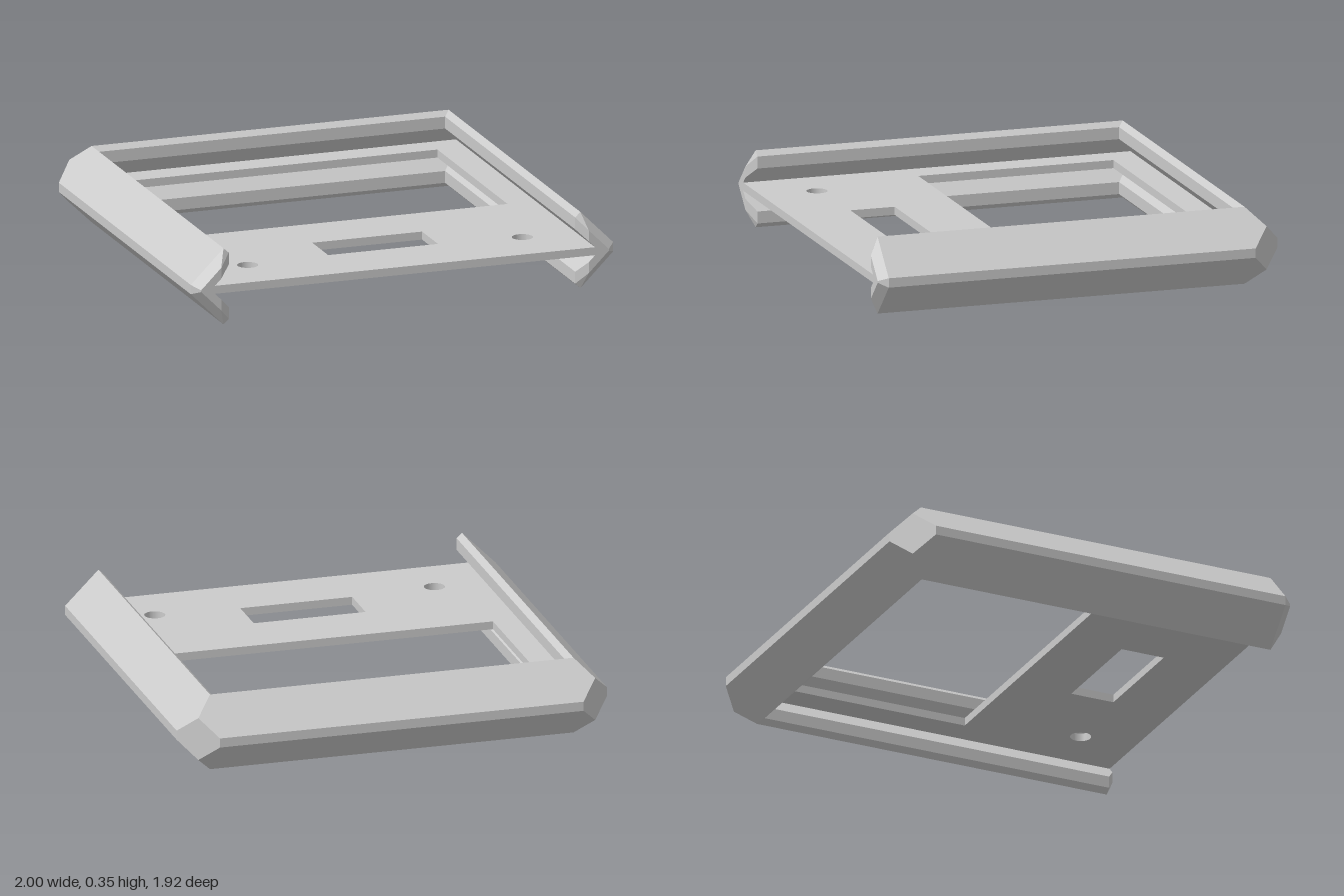
import * as THREE from 'three';

const OUT_X = 1, OUT_Z = 0.96;    // outer half width and half depth
const MID = 0.1765;               // height of the plate's centre plane
const CUT = 0.0775;               // where the cut-off back corners meet the mitre
const PLATE = 0.0185;             // half thickness of the plate

// Upper half of the rail section: [distance in from the outer edge, height above MID]
const section = [[0, 0.0215], [CUT, 0.099], [0.155, MID], [0.18, 0.1535], [0.18, 0.0985], [0.1, PLATE]];
// The same points on the bevelled front tip
const tip = [[0.035, 0.004], [0.0825, 0.0515], [0.13, 0.099], [0.13, 0.099], [0.13, 0.0485], [0.1, PLATE]];

// Mirror a half section into a closed ring
const ring = (half) => [...half, ...half.map(([d, h]) => [d, -h]).reverse()];

function railGeometry() {
  const along = (half, x, z) => ring(half).map(([d, h]) => new THREE.Vector3(x(d), MID + h, z(d)));
  const side = (d) => OUT_X - d;
  // Right half of the path: tip, front, then both edges of the cut corner
  const right = [
    along(tip, side, () => OUT_Z),
    along(section, side, () => 0.92),
    along(section, side, (d) => -(OUT_Z - 2 * CUT + Math.min(d, CUT)) + Math.max(0, d - CUT)),
    along(section, (d) => OUT_X - 2 * CUT + Math.min(d, CUT) - Math.max(0, d - CUT), (d) => -(OUT_Z - d)),
  ];
  const left = right.map((r) => r.map((p) => new THREE.Vector3(-p.x, p.y, p.z))).reverse();
  const rings = [...right, ...left];

  const pts = [];
  const tri = (a, b, c) => {
    if (new THREE.Triangle(a, b, c).getArea() > 1e-7) pts.push(a, b, c);
  };
  const n = rings[0].length;
  for (let s = 0; s < rings.length - 1; s++) {
    for (let i = 0; i < n; i++) {
      const j = (i + 1) % n, a = rings[s], b = rings[s + 1];
      tri(a[i], b[i], b[j]);
      tri(a[i], b[j], a[j]);
    }
  }
  // Flat ends
  const first = rings[0], last = rings[rings.length - 1];
  for (let i = 1; i < n - 1; i++) {
    tri(first[0], first[i], first[i + 1]);
    tri(last[0], last[i + 1], last[i]);
  }
  const geo = new THREE.BufferGeometry().setFromPoints(pts);
  geo.computeVertexNormals();
  return geo;
}

// Rectangle in the floor plan, from x0..x1 and z0..z1
function rect(Type, x0, x1, z0, z1) {
  return new Type([[x0, -z1], [x1, -z1], [x1, -z0], [x0, -z0]].map(([x, y]) => new THREE.Vector2(x, y)));
}

function plateGeometry() {
  const shape = rect(THREE.Shape, -0.9, 0.9, -0.86, OUT_Z);
  shape.holes.push(rect(THREE.Path, -0.767, 0.767, -0.735, 0.182)); // large window
  shape.holes.push(rect(THREE.Path, -0.26, 0.26, 0.465, 0.673));    // small slot
  for (const x of [-0.65, 0.65]) {
    shape.holes.push(new THREE.Path().absarc(x, -0.698, 0.047, 0, Math.PI * 2, true)); // screw holes
  }
  const geo = new THREE.ExtrudeGeometry(shape, { depth: PLATE * 2, bevelEnabled: false, curveSegments: 32 });
  geo.rotateX(-Math.PI / 2);
  geo.translate(0, MID - PLATE, 0);
  return geo;
}

export function createModel() {
  const group = new THREE.Group();
  group.name = 'panelFrame';
  const material = new THREE.MeshStandardMaterial({ color: 0xcccccc, flatShading: true });
  const add = (name, geo) => {
    const mesh = new THREE.Mesh(geo, material);
    mesh.name = name;
    group.add(mesh);
  };
  add('frameRail', railGeometry());
  add('mountingPlate', plateGeometry());
  return group;
}
